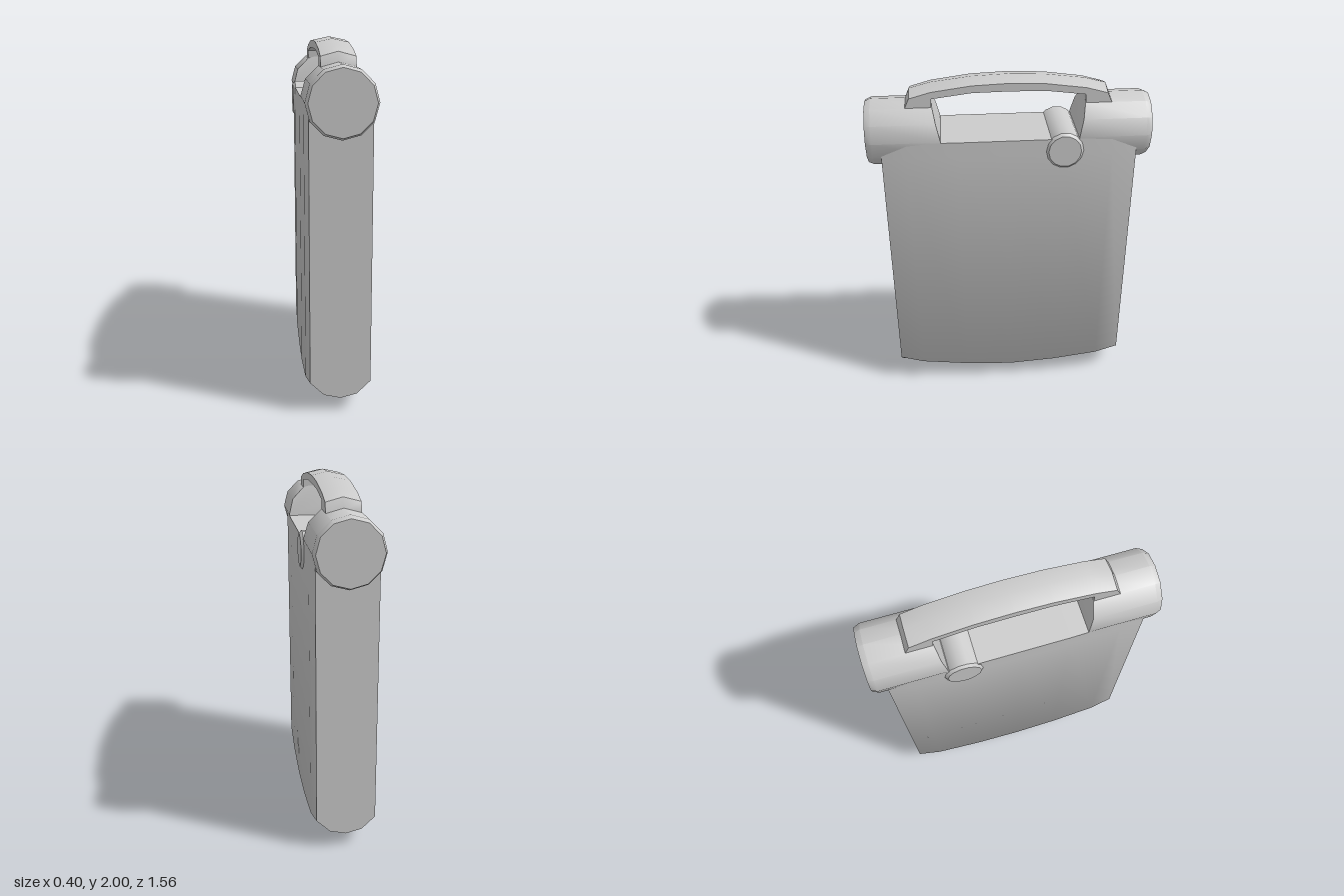
import * as THREE from 'three';
import { toCreasedNormals } from 'three/addons/utils/BufferGeometryUtils.js';

// Skin a list of convex loops (anticlockwise seen from +z, ordered by rising z) and cap both ends
function loft(loops, crease) {
  const n = loops[0].length, index = [];
  for (let k = 0; k < loops.length - 1; k++) {
    for (let i = 0; i < n; i++) {
      const a = k * n + i, b = k * n + (i + 1) % n;
      index.push(a, b, b + n, a, b + n, a + n);
    }
  }
  const last = (loops.length - 1) * n;
  for (let i = 1; i < n - 1; i++) {
    index.push(0, i + 1, i, last, last + i, last + i + 1);
  }
  const geometry = new THREE.BufferGeometry();
  geometry.setAttribute('position', new THREE.Float32BufferAttribute(loops.flat(2), 3));
  geometry.setIndex(index);
  return toCreasedNormals(geometry, crease);
}

// Repeat half-length sections (z from 0 outwards) on the negative side
const mirrorSections = (half) => [
  ...half.slice(1).reverse().map(([z, ...rest]) => [-z, ...rest]),
  ...half,
];

export function createModel() {
  const group = new THREE.Group();
  const grey = new THREE.MeshStandardMaterial({ color: 0xcccccc });
  grey.name = 'plain grey';

  const add = (name, geometry) => {
    const mesh = new THREE.Mesh(geometry, grey);
    mesh.name = name;
    group.add(mesh);
    return mesh;
  };

  // Flat body with a bowed, rounded underside: z, half width, lowest y
  const bodySections = mirrorSections([
    [0, 0.188, 0], [0.28, 0.188, 0.018], [0.56, 0.182, 0.05], [0.7, 0.165, 0.08],
  ]);
  add('body', loft(bodySections.map(([z, w, y]) => [
    [0, y, z], [0.09, y + 0.022, z], [w, y + 0.095, z], [w, 1.6, z], [w, 1.69, z],
    [-w, 1.69, z], [-w, 1.6, z], [-w, y + 0.095, z], [-0.09, y + 0.022, z],
  ]), 0.95));

  // Top rolls, cut on a slant towards the hand opening and bevelled outside
  const sides = 12, rollY = 1.695;
  const ring = (radius, zAt) => Array.from({ length: sides }, (_, i) => {
    const t = i / sides * Math.PI * 2;
    const y = rollY + Math.sin(t) * radius;
    return [Math.cos(t) * radius, y, zAt(y)];
  });
  const roll = loft([
    ring(0.187, (y) => 0.375 + Math.max(0, y - 1.69) * 0.237),
    ring(0.187, () => 0.745),
    ring(0.173, () => 0.778),
  ], 0.6);
  add('frontRoll', roll);
  add('backRoll', roll).rotation.y = Math.PI;

  // Arched carrying handle with a slight ridge: z, ridge y, edge y, underside y
  const handleSections = mirrorSections([
    [0, 2, 1.98, 1.935], [0.2, 1.992, 1.972, 1.932], [0.415, 1.966, 1.943, 1.905],
    [0.42, 1.965, 1.942, 1.8], [0.535, 1.935, 1.91, 1.8], [0.56, 1.875, 1.855, 1.8],
  ]);
  add('handle', loft(handleSections.map(([z, ridge, edge, under]) => [
    [0.093, under, z], [0.093, edge, z], [0, ridge, z], [-0.093, edge, z], [-0.093, under, z],
  ]), 0.6));

  // Round cross pin with bevelled ends showing on both sides
  const pinProfile = [[0, -0.2], [0.09, -0.2], [0.105, -0.185], [0.105, 0.185], [0.09, 0.2], [0, 0.2]]
    .map(([r, y]) => new THREE.Vector2(r, y));
  const pin = new THREE.LatheGeometry(pinProfile, 14);
  pin.rotateZ(Math.PI / 2);
  add('crossPin', toCreasedNormals(pin, 0.6)).position.set(0, 1.62, -0.298);

  return group;
}
